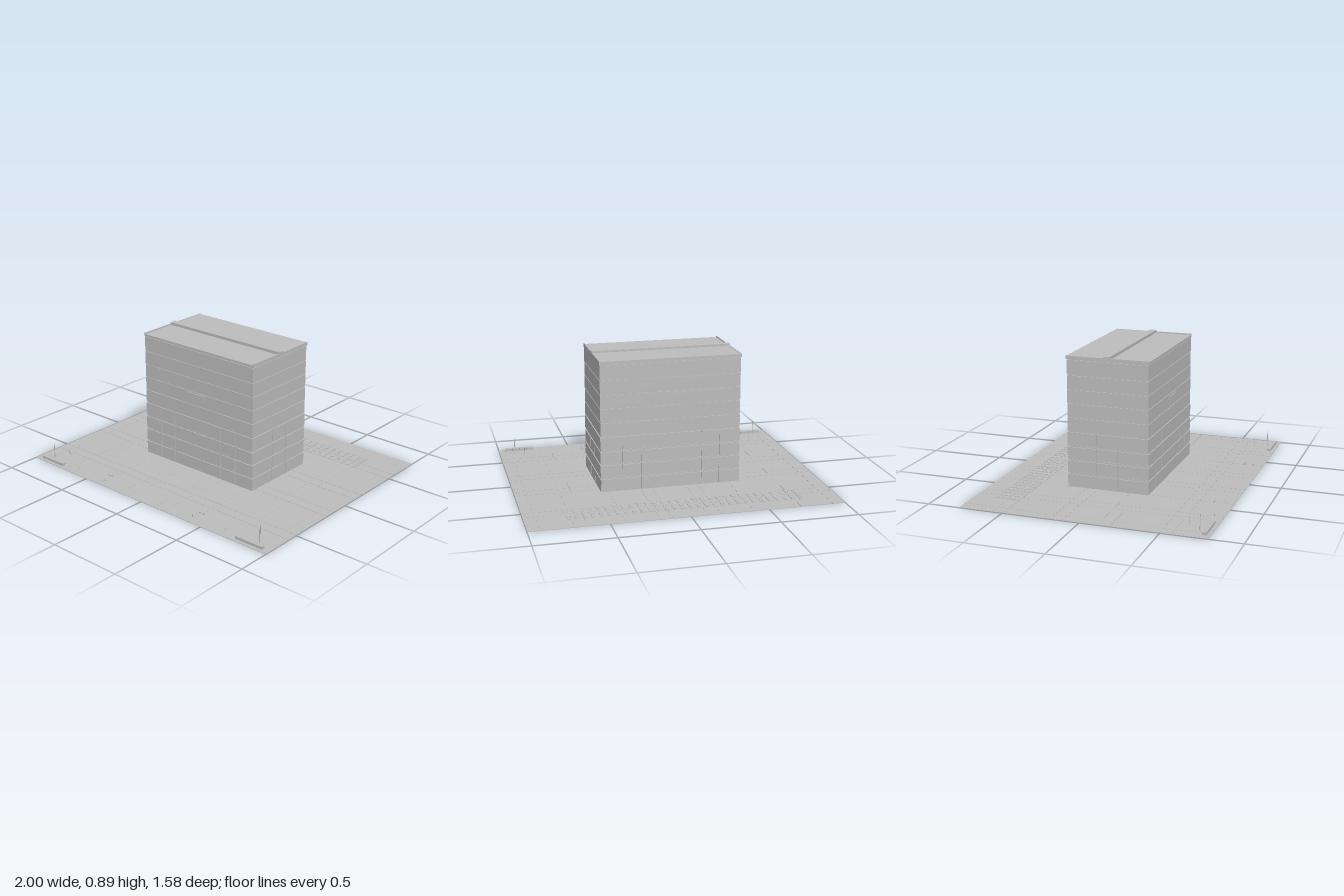
import * as THREE from 'three';

export function createModel() {
  const model = new THREE.Group();
  const grey = new THREE.MeshStandardMaterial({ color: 0xbcbcbc });
  grey.name = 'concrete grey';

  const group = (name, parent = model) => {
    const g = new THREE.Group();
    g.name = name;
    parent.add(g);
    return g;
  };
  // Box given by its minimum and maximum on each axis
  const box = (parent, name, x0, x1, y0, y1, z0, z1) => {
    const m = new THREE.Mesh(new THREE.BoxGeometry(x1 - x0, y1 - y0, z1 - z0), grey);
    m.position.set((x0 + x1) / 2, (y0 + y1) / 2, (z0 + z1) / 2);
    m.name = name;
    parent.add(m);
    return m;
  };
  const post = (parent, name, x, z, radius, height) => {
    const m = new THREE.Mesh(new THREE.CylinderGeometry(radius, radius, height, 8), grey);
    m.position.set(x, height / 2, z);
    m.name = name;
    parent.add(m);
  };

  // Plaza with paving strips
  const plaza = group('plaza');
  box(plaza, 'ground', -1, 1, 0, 0.003, -0.79, 0.79);
  for (const x of [0.11, 0.19, 0.4, 0.635, 0.71, 0.92])
    for (const s of [-1, 1])
      box(plaza, 'pavingStripLong', s * x - 0.004, s * x + 0.004, 0.002, 0.004, -0.79, 0.79);
  for (const z of [0.11, 0.187, 0.495, 0.568])
    for (const s of [-1, 1])
      box(plaza, 'pavingStripCross', -1, 1, 0.002, 0.0045, s * z - 0.004, s * z + 0.004);

  // Building core
  const X = 0.459, ZB = -0.288, ZF = 0.25, inset = 0.005;
  const building = group('building');
  box(building, 'core', -X + inset, X - inset, 0.02, 0.865, ZB + inset, ZF - inset);

  // Upper storeys: cladding bands with narrow joints
  const joints = [0.388, 0.478, 0.57, 0.66, 0.752, 0.852];
  for (let i = 0; i < joints.length - 1; i++)
    box(building, 'claddingBand', -X, X, joints[i] + 0.003, joints[i + 1] - 0.002, ZB, ZF);

  // Lower storeys: window bays on all four faces
  const floors = [0.02, 0.108, 0.2, 0.29, 0.388];
  const baysX = [-X, -0.32, -0.2, 0.2, 0.32, X];
  const baysZ = [ZB, -0.09, 0.05, ZF];
  const windows = group('windowBays', building);
  const gap = 0.003;
  for (let f = 0; f < 4; f++) {
    const y0 = floors[f] + (f ? 0.008 : 0), y1 = floors[f + 1] - 0.006;
    for (let i = 0; i < baysX.length - 1; i++) {
      const a = baysX[i] + (i ? gap : 0);
      const b = baysX[i + 1] - (i < baysX.length - 2 ? gap : 0);
      box(windows, 'frontWindow', a, b, y0, y1, ZF - 0.006, ZF + 0.002);
      box(windows, 'backWindow', a, b, y0, y1, ZB - 0.002, ZB + 0.006);
    }
    for (let i = 0; i < baysZ.length - 1; i++) {
      const a = baysZ[i] + (i ? gap : 0);
      const b = baysZ[i + 1] - (i < baysZ.length - 2 ? gap : 0);
      box(windows, 'leftWindow', X - 0.006, X + 0.002, y0, y1, a, b);
      box(windows, 'rightWindow', -X - 0.002, -X + 0.006, y0, y1, a, b);
    }
  }
  // Floor slab edges between the window rows
  for (const y of floors.slice(1, 4))
    box(building, 'slabEdge', -X + 0.002, X - 0.002, y - 0.003, y + 0.005, ZB + 0.002, ZF - 0.002);

  // Roof: two slabs, end rims and the raised strip between them
  const roof = group('roof', building);
  box(roof, 'frontRoofSlab', -X - 0.003, X + 0.003, 0.854, 0.87, 0.003, ZF + 0.003);
  box(roof, 'backRoofSlab', -X - 0.003, X + 0.003, 0.854, 0.875, ZB - 0.005, -0.04);
  box(roof, 'roofStrip', -X - 0.003, X + 0.003, 0.862, 0.887, -0.045, 0);
  for (const s of [-1, 1]) {
    const x = s * (X - 0.001);
    box(roof, 'roofRim', x - 0.004, x + 0.004, 0.854, 0.877, ZB - 0.005, ZF + 0.003);
  }

  // Blank plate standing off the front face
  box(building, 'frontPlate', -0.078, 0.072, 0.525, 0.565, 0.262, 0.268);
  for (const x of [-0.05, 0.044])
    box(building, 'plateBracket', x - 0.003, x + 0.003, 0.54, 0.55, 0.245, 0.263);

  // Low planters, lamp posts and benches, mirrored left and right
  const furniture = group('streetFurniture');
  for (const s of [-1, 1]) {
    for (let i = 0; i < 4; i++) {
      const x = s * (0.778 + i * 0.0505);
      box(furniture, 'planter', x - 0.0245, x + 0.0245, 0, 0.02, 0.74, 0.765);
    }
    post(furniture, 'tallLamp', s * 0.893, 0.711, 0.0025, 0.106);
    post(furniture, 'shortLamp', s * 0.833, 0.628, 0.002, 0.062);
    const bx = s * 0.4;
    box(furniture, 'benchSeat', bx - 0.02, bx + 0.02, 0.01, 0.014, 0.657, 0.669);
    for (const d of [-0.016, 0.016])
      box(furniture, 'benchLeg', bx + d - 0.002, bx + d + 0.002, 0, 0.011, 0.659, 0.667);
    for (const x of [0.127, 0.382, 0.637])
      post(furniture, 'bollard', s * x, 0.728, 0.002, 0.018);
  }

  // Grid of flat pavers behind the building
  const pavers = group('backPavers');
  const rows = [[-0.66, -0.642], [-0.636, -0.612], [-0.606, -0.578], [-0.552, -0.528], [-0.522, -0.492]];
  for (let i = 0; i < 30; i++) {
    const x = -0.758 + i * 0.0513;
    for (const [z0, z1] of rows)
      box(pavers, 'paver', x - 0.012, x + 0.012, 0.002, 0.006, z0, z1);
  }
  return model;
}
